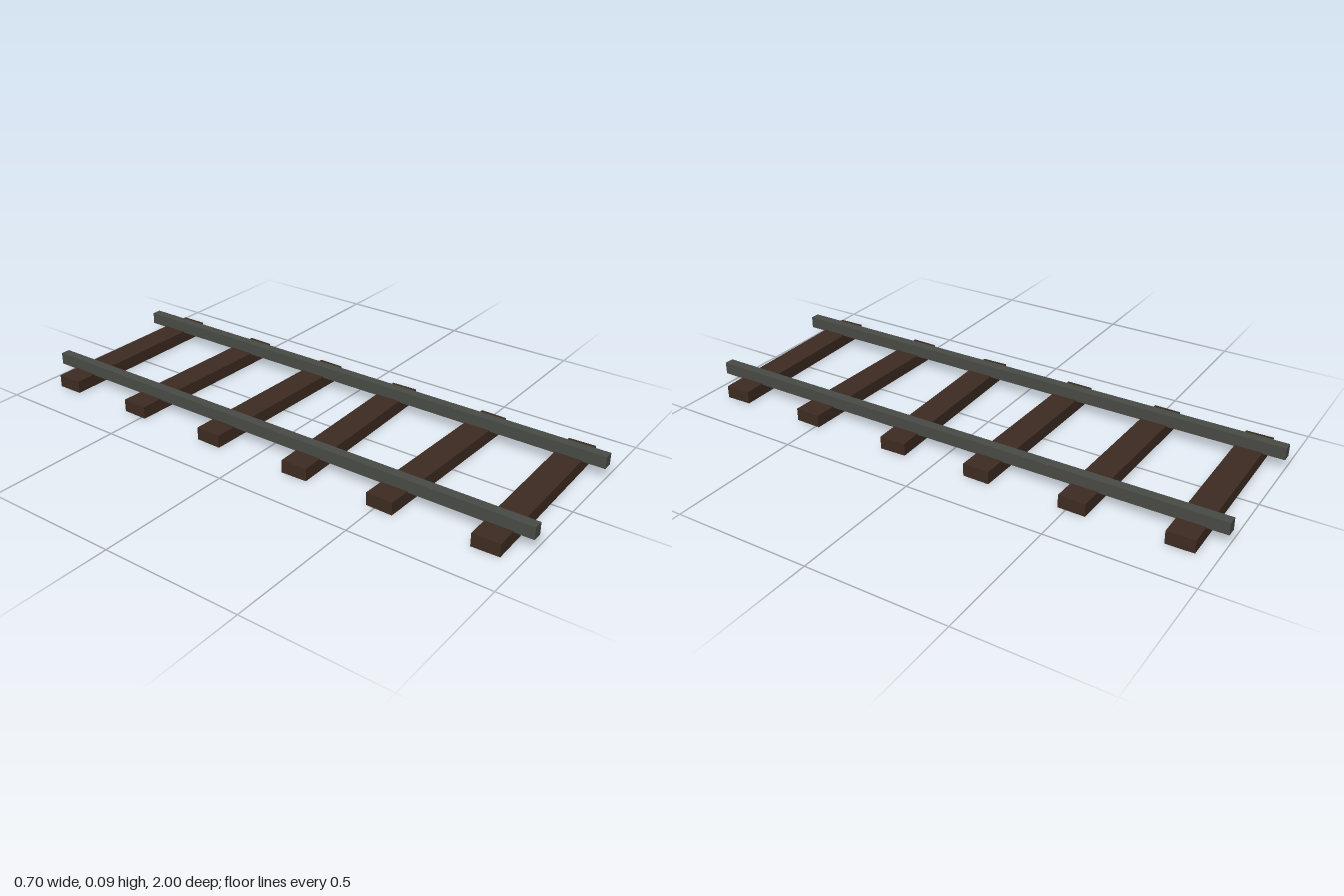
import * as THREE from 'three';

export function createModel() {
  const track = new THREE.Group();
  track.name = 'railTrack';

  const wood = new THREE.MeshStandardMaterial({ color: 0x3d2b21 });
  wood.name = 'darkWood';
  const steel = new THREE.MeshStandardMaterial({ color: 0x484a44 });
  steel.name = 'agedSteel';

  // Sleepers: evenly spaced, each laid slightly askew
  const sleeperGeometry = new THREE.BoxGeometry(0.698, 0.046, 0.097);
  const skew = [0.011, -0.019, -0.019, 0.031, -0.027, 0.027];
  const spacing = 0.351;
  skew.forEach((angle, i) => {
    const sleeper = new THREE.Mesh(sleeperGeometry, wood);
    sleeper.name = `sleeper${i + 1}`;
    sleeper.position.set(0, 0.023, (i - 2.5) * spacing);
    sleeper.rotation.y = angle;
    track.add(sleeper);
  });

  // Rails: a mirrored pair, sunk slightly into the sleepers
  const railGeometry = new THREE.BoxGeometry(0.035, 0.044, 2);
  for (const side of [-1, 1]) {
    const rail = new THREE.Mesh(railGeometry, steel);
    rail.name = side > 0 ? 'leftRail' : 'rightRail';
    rail.position.set(side * 0.25, 0.064, 0);
    track.add(rail);
  }

  return track;
}
